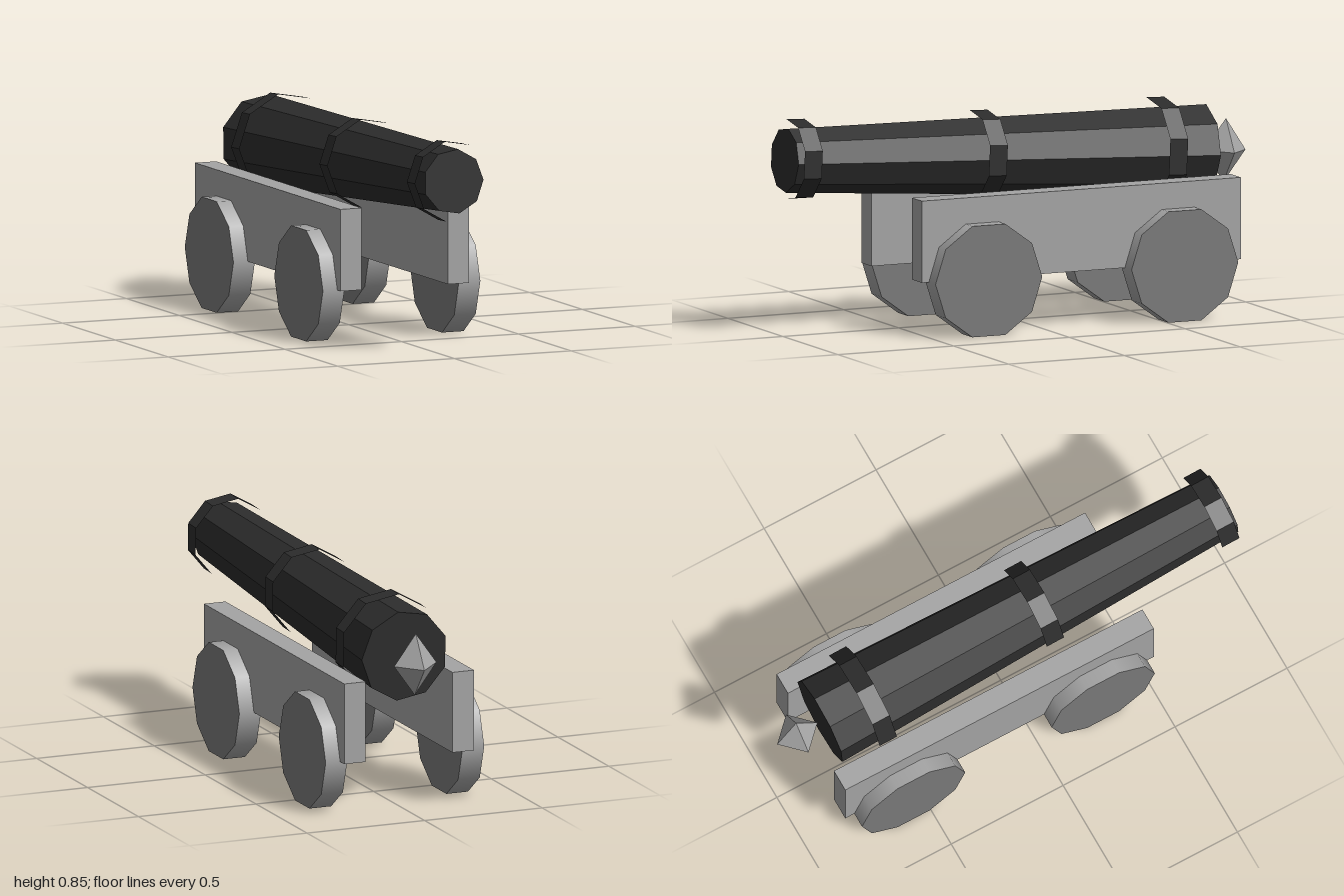
import * as THREE from 'three';

const mat = (name, color, extra = {}) => {
  const m = new THREE.MeshStandardMaterial({ color, ...extra });
  m.name = name;
  return m;
};

export function createModel() {
  const iron = mat('darkIron', 0x2c2c2c, { flatShading: true });
  const grey = mat('lightGrey', 0xa4a4a4);
  const capGrey = mat('wheelGrey', 0x797979);

  const model = new THREE.Group();
  model.name = 'cannon';

  const add = (parent, name, geometry, material, x, y, z) => {
    const mesh = new THREE.Mesh(geometry, material);
    mesh.name = name;
    mesh.position.set(x, y, z);
    parent.add(mesh);
    return mesh;
  };

  // Nine-sided tube lying along z, front radius first
  const tube = (rFront, rBack, length, open, start) =>
    new THREE.CylinderGeometry(rFront, rBack, length, 9, 1, open, start).rotateX(Math.PI / 2);

  // Gun: everything here shares the slight upward tilt
  const gun = new THREE.Group();
  gun.name = 'gun';
  gun.position.set(0, 0.669, 0.093);
  gun.rotation.x = -0.0433;
  model.add(gun);
  add(gun, 'barrel', tube(0.128, 0.183, 1.8, false, Math.PI / 2), iron, 0, 0, 0);

  // Loose open bands around the barrel, turned half a facet
  const bands = [['muzzleBand', 0.159, 0.847], ['middleBand', 0.175, 0.054], ['breechBand', 0.207, -0.711]];
  for (const [name, r, z] of bands) {
    add(gun, name, tube(r, r, 0.077, true, -Math.PI / 2), iron, 0, 0, z);
  }

  // Diamond knob behind the breech
  const knob = new THREE.OctahedronGeometry(1).scale(0.09, 0.125, 0.09);
  add(gun, 'knob', knob, grey, 0, -0.007, -1.003);

  // Carriage: a side rail and two ten-sided wheels on each side
  const rail = new THREE.BoxGeometry(0.091, 0.323, 1.378);
  const wheel = new THREE.CylinderGeometry(0.2305, 0.2305, 0.092, 10)
    .rotateX(Math.PI / 2).rotateY(Math.PI / 2).rotateX(Math.PI / 2);
  for (const [side, s] of [['left', 1], ['right', -1]]) {
    add(model, side + 'Rail', rail, grey, s * 0.23, 0.392, -0.159);
    for (const [end, z] of [['Front', 0.27], ['Rear', -0.577]]) {
      add(model, side + end + 'Wheel', wheel, [grey, capGrey, capGrey], s * 0.291, 0.2305, z);
    }
  }
  return model;
}
